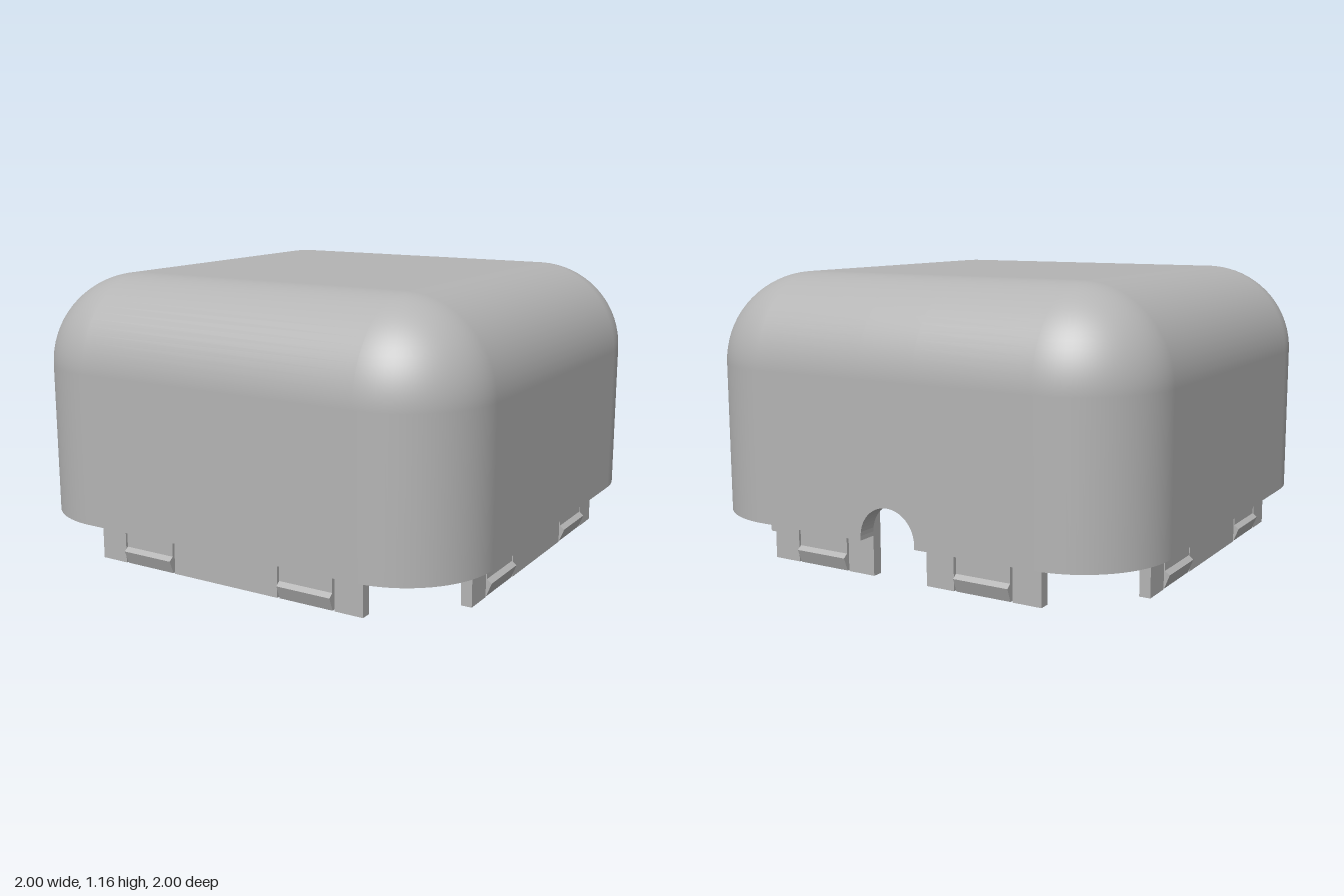
import * as THREE from 'three';

const C = 0.625;            // centre of the corner rounding, in x and z
const R_OUT = 0.375, R_IN = 0.295;
const Y_RIM = 0.1625, Y_ROUND = 0.7875;
const NOTCH_R = 0.125, NOTCH_Y = 0.18;

// Plan outline: corner centre, outward normal and rim height at each point
function outline() {
  const pts = [];
  const N = 20;
  const signs = [[1, 1], [-1, 1], [-1, -1], [1, -1]];
  signs.forEach(([sx, sz], q) => {
    for (let i = 0; i <= N; i++) {
      const a = (q + i / N) * Math.PI / 2;
      pts.push({ x: sx * C, z: sz * C, nx: Math.cos(a), nz: Math.sin(a), y: Y_RIM });
    }
    if (q === 2) {
      // arched cable notch in the back wall
      const back = (x, y) => pts.push({ x, z: -C, nx: 0, nz: -1, y });
      back(-NOTCH_R, Y_RIM);
      for (let i = 0; i <= 24; i++) {
        const t = Math.PI * (1 - i / 24);
        back(NOTCH_R * Math.cos(t), NOTCH_Y + NOTCH_R * Math.sin(t));
      }
      back(NOTCH_R, Y_RIM);
    }
  });
  pts.push(pts[0]);
  return pts;
}

// Joins rows of points into a surface
function loft(rows, normals, flip) {
  const n = rows[0].length, index = [];
  for (let k = 0; k < rows.length - 1; k++) {
    for (let i = 0; i < n - 1; i++) {
      const a = k * n + i, b = a + 1, d = a + n, c = d + 1;
      if (flip) index.push(a, c, d, a, b, c);
      else index.push(a, d, c, a, c, b);
    }
  }
  const g = new THREE.BufferGeometry();
  g.setAttribute('position', new THREE.Float32BufferAttribute(rows.flat(2), 3));
  g.setIndex(index);
  if (normals) {
    g.setAttribute('normal', new THREE.Float32BufferAttribute(normals.flat(2), 3));
    return g;
  }
  const flat = g.toNonIndexed();
  flat.computeVertexNormals();
  return flat;
}

// Wall and rounded shoulder at radius r, facing out or in
function skin(path, r, inward) {
  const s = inward ? -1 : 1, N = 18;
  const rows = [path.map(p => [p.x + p.nx * r, p.y, p.z + p.nz * r])];
  const normals = [path.map(p => [s * p.nx, 0, s * p.nz])];
  for (let k = 0; k <= N; k++) {
    const f = k / N * Math.PI / 2, c = Math.cos(f), h = Math.sin(f);
    rows.push(path.map(p => [p.x + p.nx * r * c, Y_ROUND + r * h, p.z + p.nz * r * c]));
    normals.push(path.map(p => [s * p.nx * c, s * h, s * p.nz * c]));
  }
  return loft(rows, normals, inward);
}

export function createModel() {
  const model = new THREE.Group();
  model.name = 'enclosureCover';
  const plastic = new THREE.MeshStandardMaterial({ color: 0xb4b4b4 });
  plastic.name = 'greyPlastic';
  const add = (parent, name, geo) => {
    const m = new THREE.Mesh(geo, plastic);
    m.name = name;
    parent.add(m);
    return m;
  };

  // Hollow shell, open below
  const path = outline();
  const shell = new THREE.Group();
  shell.name = 'shell';
  model.add(shell);
  add(shell, 'outerSkin', skin(path, R_OUT, false));
  add(shell, 'innerSkin', skin(path, R_IN, true));
  add(shell, 'bottomRim', loft([R_IN, R_OUT].map(r =>
    path.map(p => [p.x + p.nx * r, p.y, p.z + p.nz * r])), null, false));
  add(shell, 'topFace', new THREE.PlaneGeometry(2 * C, 2 * C).rotateX(-Math.PI / 2))
    .position.y = Y_ROUND + R_OUT;
  add(shell, 'ceiling', new THREE.PlaneGeometry(2 * C, 2 * C).rotateX(Math.PI / 2))
    .position.y = Y_ROUND + R_IN;

  // Snap tongue: hooked foot, sloped top
  const profile = new THREE.Shape([
    [0.875, 0], [0.918, 0], [0.94, 0.055], [0.92, 0.07], [0.92, 0.51], [0.875, 0.46],
  ].map(([x, y]) => new THREE.Vector2(x, y)));
  const tongue = new THREE.ExtrudeGeometry(profile, { depth: 0.236, bevelEnabled: false });
  tongue.translate(0, 0, -0.118);

  // Locating skirt and two snap tongues along each wall
  const names = ['leftSkirt', 'backSkirt', 'rightSkirt', 'frontSkirt'];
  names.forEach((name, k) => {
    const side = new THREE.Group();
    side.name = name;
    side.rotation.y = k * Math.PI / 2;
    model.add(side);
    const panel = (label, z0, z1) =>
      add(side, label, new THREE.BoxGeometry(0.045, 0.25, z1 - z0))
        .position.set(0.8975, 0.125, (z0 + z1) / 2);
    for (const s of [-1, 1]) {
      add(side, 'snapTongue', tongue).position.z = s * 0.376;
      panel('endPanel', s > 0 ? 0.503 : -0.625, s > 0 ? 0.625 : -0.503);
    }
    if (k === 1) {
      // split around the notch
      panel('middlePanel', -0.248, -NOTCH_R);
      panel('middlePanel', NOTCH_R, 0.248);
    } else {
      panel('middlePanel', -0.248, 0.248);
    }
  });
  return model;
}
